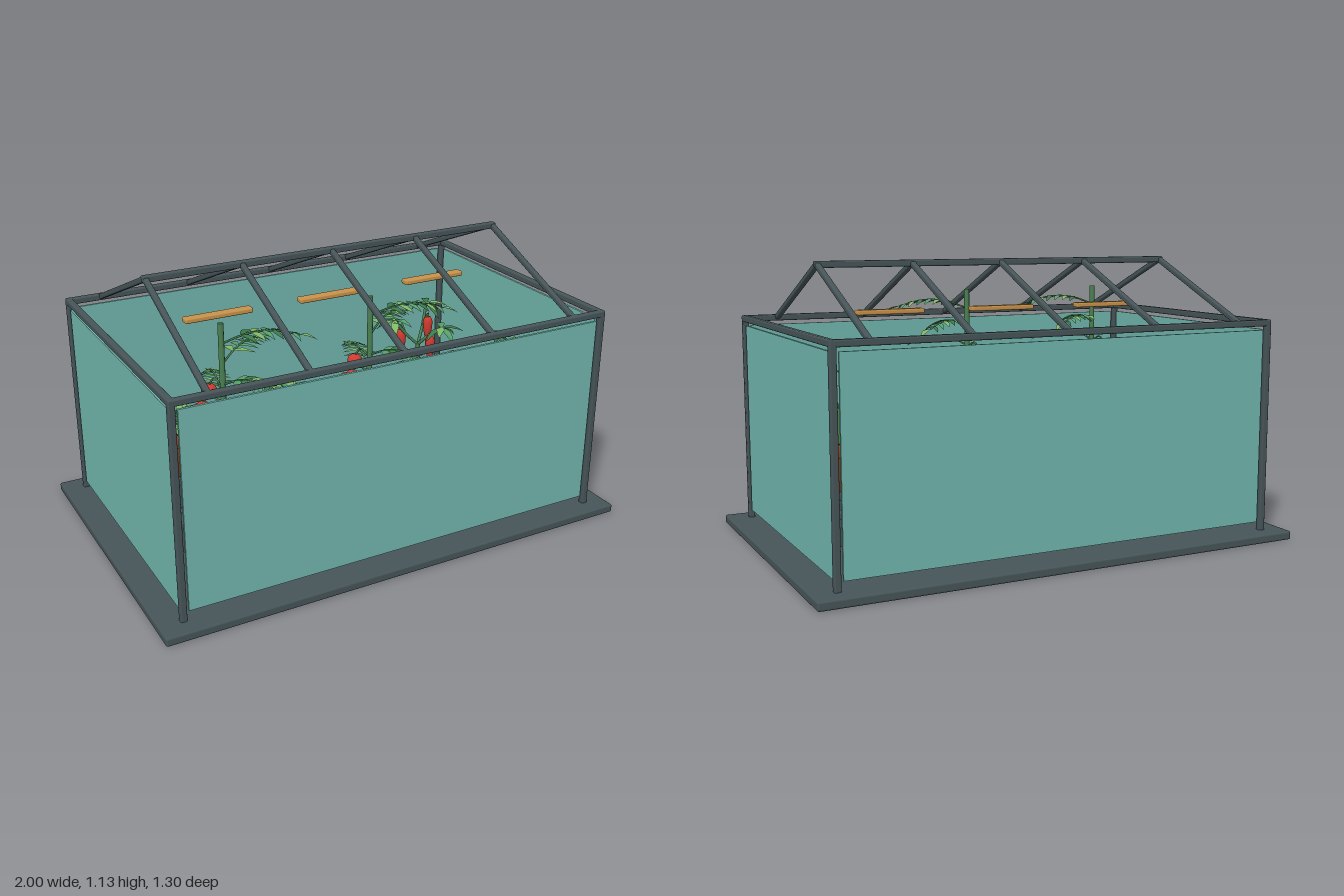
import * as THREE from 'three';
import { mergeGeometries } from 'three/addons/utils/BufferGeometryUtils.js';
import { RoundedBoxGeometry } from 'three/addons/geometries/RoundedBoxGeometry.js';

const V = (x, y, z) => new THREE.Vector3(x, y, z);
const rad = THREE.MathUtils.degToRad;

function mat(name, color, doubleSided = false) {
  const m = new THREE.MeshStandardMaterial({ color });
  m.name = name;
  if (doubleSided) m.side = THREE.DoubleSide;
  return m;
}

const M = {
  frame: mat('slate metal', 0x465458),
  glass: mat('teal glass', 0x70b5ac),
  soil: mat('soil', 0x4a2e24),
  pot: mat('terracotta', 0x8a4a2c, true),
  wood: mat('wood', 0xc8924a),
  stem: mat('stem green', 0x4a8052),
  light: mat('light leaf', 0x7fb866, true),
  mid: mat('mid leaf', 0x55a06a, true),
  dark: mat('dark leaf', 0x3c7a4a, true),
  red: mat('fruit red', 0xd03a30),
};

function mesh(parent, name, geo, material, x = 0, y = 0, z = 0) {
  const m = new THREE.Mesh(geo, material);
  m.name = name;
  m.position.set(x, y, z);
  parent.add(m);
  return m;
}

const box = (w, h, d, r = 0.006) => new RoundedBoxGeometry(w, h, d, 2, r);

// Square bar running between two points
function bar(parent, name, a, b, t = 0.026) {
  const d = b.clone().sub(a);
  const m = mesh(parent, name, box(t, t, d.length() + t), M.frame);
  m.position.copy(a).add(b).multiplyScalar(0.5);
  m.quaternion.setFromUnitVectors(V(0, 0, 1), d.normalize());
}

// Pointed leaf along +x with a folded midrib and a drooping tip
function leafGeo(len, width, droop) {
  const stations = [[0, 0.12], [0.2, 0.7], [0.45, 1], [0.75, 0.6], [1, 0.02]];
  const pos = [], index = [];
  stations.forEach(([t, w], i) => {
    const y = -droop * len * t * t, half = width * w / 2;
    pos.push(t * len, y + half * 0.35, -half, t * len, y, 0, t * len, y + half * 0.35, half);
    if (!i) return;
    for (let k = 0; k < 2; k++) {
      const a = i * 3 - 3 + k, b = i * 3 + k;
      index.push(a, a + 1, b, b, a + 1, b + 1);
    }
  });
  const g = new THREE.BufferGeometry();
  g.setAttribute('position', new THREE.Float32BufferAttribute(pos, 3));
  g.setIndex(index);
  g.computeVertexNormals();
  return g;
}

// Leaf aimed at yaw (degrees from +x towards +z) and pitch (degrees up)
function leafAt(p, yaw, pitch, len, width, droop = 0.2) {
  const e = new THREE.Euler(0, -rad(yaw), rad(pitch), 'YZX');
  const q = new THREE.Quaternion().setFromEuler(e);
  return leafGeo(len, width, droop).applyMatrix4(new THREE.Matrix4().compose(p, q, V(1, 1, 1)));
}

const tube = (points, r) => new THREE.TubeGeometry(new THREE.CatmullRomCurve3(points), 10, r, 6);

function addLeaves(g, lists) {
  for (const key of ['light', 'mid', 'dark'])
    if (lists[key].length) mesh(g, key + 'Leaves', mergeGeometries(lists[key]), M[key]);
}
const newLists = () => ({ light: [], mid: [], dark: [] });

// Pot with thick rim and soil; its rim is at y = 0.4
function potted(parent, name, x, z) {
  const g = new THREE.Group();
  g.name = name;
  g.position.set(x, 0, z);
  parent.add(g);
  const profile = [[0, 0.18], [0.088, 0.18], [0.115, 0.345], [0.135, 0.345], [0.137, 0.398],
    [0.118, 0.4], [0.113, 0.37]].map(([r, y]) => new THREE.Vector2(r, y));
  mesh(g, 'pot', new THREE.LatheGeometry(profile, 28), M.pot);
  mesh(g, 'potSoil', new THREE.CylinderGeometry(0.115, 0.11, 0.02, 28), M.soil, 0, 0.372, 0);
  return g;
}

// Leafy rosette
function lettuce(parent, x, z) {
  const g = potted(parent, 'lettuce', x, z), lists = newLists();
  const rings = [[11, 0.165, 8, 0.07], [10, 0.135, 28, 0.065], [8, 0.105, 48, 0.055], [5, 0.08, 70, 0.045]];
  rings.forEach(([n, len, pitch, w], r) => {
    for (let i = 0; i < n; i++) {
      const yaw = (i + (r % 2) / 2) * 360 / n;
      lists[(i + r) % 2 ? 'light' : 'mid'].push(leafAt(V(0, 0.385 + r * 0.008, 0), yaw, pitch, len, w));
    }
  });
  addLeaves(g, lists);
}

// Staked tomato with arching fronds and hanging fruit
function tomato(parent, x, z) {
  const g = potted(parent, 'tomatoPlant', x, z), lists = newLists(), stems = [];
  mesh(g, 'stake', new THREE.CylinderGeometry(0.011, 0.011, 0.62, 10), M.stem, 0, 0.69, 0);
  // height, yaw, length
  const fronds = [[0.92, 15, 0.29], [0.84, -34, 0.29], [0.76, 52, 0.23], [0.7, -78, 0.27],
    [0.62, -8, 0.22], [0.57, -108, 0.22], [0.52, 30, 0.2], [0.5, -55, 0.2]];
  fronds.forEach(([y, yaw, len], f) => {
    const c = Math.cos(rad(yaw)), s = Math.sin(rad(yaw));
    const at = t => V(c * len * t, y + 0.14 * t - 0.13 * t * t, s * len * t);
    stems.push(tube([at(0), at(0.33), at(0.67), at(1)], 0.004));
    for (let i = 0; i < 6; i++) {
      const t = 0.25 + i * 0.13, size = 0.085 - i * 0.007;
      for (const side of [-1, 1])
        lists[['dark', 'light', 'mid'][(f + i) % 3]].push(
          leafAt(at(t), yaw + side * 55, 5 - i * 4, size, size * 0.38));
    }
    lists.light.push(leafAt(at(1), yaw, -10, 0.07, 0.028));
  });
  // yaw, reach, height
  const fruit = [[160, 0.1, 0.7], [205, 0.09, 0.66], [245, 0.07, 0.72], [300, 0.08, 0.58],
    [340, 0.1, 0.62], [130, 0.12, 0.54], [95, 0.1, 0.6], [40, 0.1, 0.55]];
  for (const [yaw, r, y] of fruit) {
    const px = Math.cos(rad(yaw)) * r, pz = Math.sin(rad(yaw)) * r;
    stems.push(tube([V(0, y + 0.03, 0), V(px * 0.6, y + 0.055, pz * 0.6), V(px, y + 0.02, pz)], 0.004));
    const ball = mesh(g, 'tomato', new THREE.SphereGeometry(0.03, 16, 12), M.red, px, y, pz);
    ball.scale.y = 0.9;
    for (let k = 0; k < 5; k++) lists.dark.push(leafAt(V(px, y + 0.027, pz), k * 72, -10, 0.02, 0.008));
  }
  mesh(g, 'stems', mergeGeometries(stems), M.stem);
  addLeaves(g, lists);
}

// Three-branched pepper with leaf tufts and long pods
function pepper(parent, x, z) {
  const g = potted(parent, 'pepperPlant', x, z), lists = newLists(), stems = [];
  stems.push(tube([V(0, 0.37, 0), V(0.004, 0.45, 0), V(0, 0.54, 0)], 0.01));
  [[190, 0.66], [-40, 0.69], [58, 0.63]].forEach(([yaw, top], b) => {
    const c = Math.cos(rad(yaw)), s = Math.sin(rad(yaw));
    const tip = V(c * 0.115, top, s * 0.115);
    stems.push(tube([V(0, 0.53, 0), V(c * 0.06, 0.59, s * 0.06), tip], 0.007));
    for (let i = 0; i < 6; i++)
      lists[['mid', 'light', 'dark'][i % 3]].push(
        leafAt(tip, yaw + (i - 2.5) * 48, 10 - (i % 2) * 25, 0.095, 0.036, 0.3));
    const pod = [[0, -0.13], [0.009, -0.115], [0.019, -0.06], [0.022, -0.02], [0.014, 0], [0, 0.002]];
    const px = Math.cos(rad(yaw + 18)) * 0.075, pz = Math.sin(rad(yaw + 18)) * 0.075;
    mesh(g, 'pepperPod', new THREE.LatheGeometry(pod.map(p => new THREE.Vector2(...p)), 14), M.red,
      px, top - 0.06 + b * 0.01, pz);
    stems.push(tube([V(c * 0.06, 0.59, s * 0.06), V(px, top - 0.03, pz), V(px, top - 0.06 + b * 0.01, pz)], 0.005));
  });
  mesh(g, 'stems', mergeGeometries(stems), M.stem);
  addLeaves(g, lists);
}

export function createModel() {
  const model = new THREE.Group();
  model.name = 'greenhouse';
  mesh(model, 'base', box(2, 0.035, 1.3, 0.008), M.frame, 0, 0.0175, 0);

  // Posts, eaves, walls
  const X = 0.905, Z = 0.57, E = 0.883, R = 1.122;
  for (const s of [-1, 1]) {
    for (const t of [-1, 1]) bar(model, 'post', V(s * X, 0.03, t * Z), V(s * X, E, t * Z));
    bar(model, 'longEave', V(-X, E, s * Z), V(X, E, s * Z));
    bar(model, 'endEave', V(s * X, E, -Z), V(s * X, E, Z));
    mesh(model, 'longWall', new THREE.BoxGeometry(1.765, 0.785, 0.01), M.glass, 0, 0.4625, s * Z);
    mesh(model, 'endWall', new THREE.BoxGeometry(0.01, 0.785, 1.085), M.glass, s * X, 0.4625, 0);
  }

  // Open roof
  bar(model, 'ridge', V(-0.77, R, 0), V(0.77, R, 0));
  for (let i = -2; i <= 2; i++)
    for (const s of [-1, 1]) bar(model, 'rafter', V(i * 0.385, E, s * Z), V(i * 0.385, R, 0), 0.022);

  // Hanging wooden bars
  for (const x of [-0.49, -0.005, 0.48]) mesh(model, 'woodBar', box(0.28, 0.02, 0.04), M.wood, x, 0.936, 0);

  // Planting trays with soil and a watering pipe
  for (const s of [-1, 1]) {
    const tray = new THREE.Group();
    tray.name = 'plantingTray';
    tray.position.z = s * 0.2475;
    model.add(tray);
    mesh(tray, 'trayBody', box(1.51, 0.115, 0.245, 0.012), M.frame, 0, 0.1225, 0);
    for (const t of [-1, 1]) {
      mesh(tray, 'trayLongRim', box(1.51, 0.03, 0.03), M.frame, 0, 0.188, t * 0.108);
      mesh(tray, 'trayEndRim', box(0.03, 0.03, 0.245), M.frame, t * 0.74, 0.188, 0);
    }
    mesh(tray, 'traySoil', new THREE.BoxGeometry(1.45, 0.02, 0.19), M.soil, 0, 0.18, 0);
    mesh(tray, 'wateringPipe', box(1.45, 0.012, 0.012, 0.005), M.frame, 0, 0.2, 0.062);
  }

  // Plants
  lettuce(model, -0.585, -0.25);
  lettuce(model, -0.075, -0.25);
  tomato(model, -0.585, 0.25);
  tomato(model, 0.035, 0.25);
  pepper(model, 0.58, -0.25);
  pepper(model, 0.61, 0.25);

  // Small plate on the inside near the front wall
  mesh(model, 'gaugePlate', box(0.09, 0.12, 0.02, 0.005), M.glass, 0.71, 0.58, 0.495);
  return model;
}
